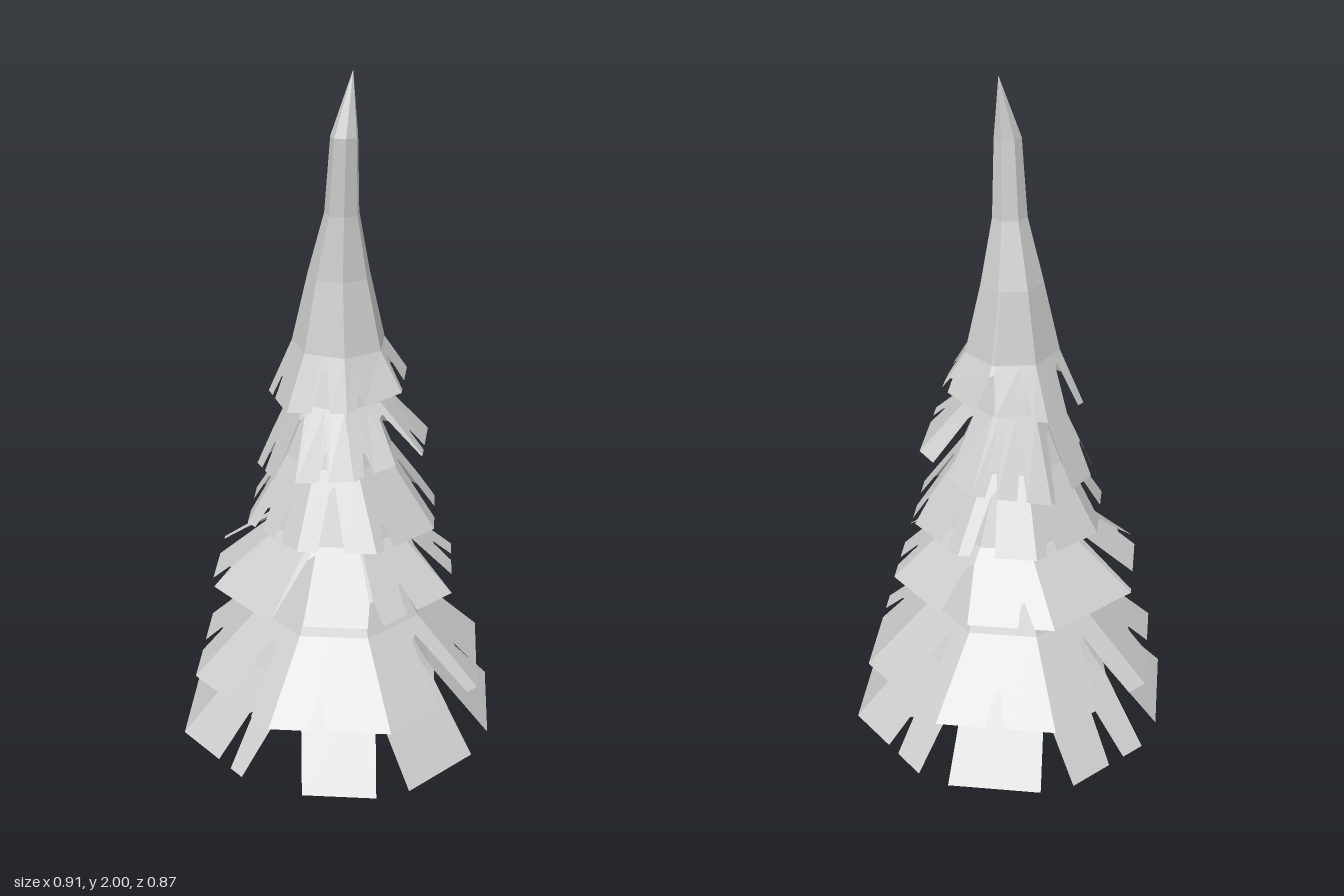
import * as THREE from 'three';

const RAD = Math.PI / 180;
const material = () => new THREE.MeshStandardMaterial({ color: 0xcccccc, flatShading: true, side: THREE.DoubleSide });
const wrap = (deg) => ((deg % 360) + 360) % 360;

// Small seeded generator giving values between 0 and 1
function seeded(seed) {
  let s = seed * 7919 + 17;
  return () => (s = (s * 16807) % 2147483647) / 2147483647;
}

// Notches as [centre angle, half width, depth]: per quarter turn, one deep gap,
// one small nick before it and sometimes one after it, all turned by a phase
function ragged(seed, gapWidth, phase) {
  const random = seeded(seed);
  const between = (a, b) => a + (b - a) * random();
  const cuts = [];
  for (let quarter = phase; quarter < 360 + phase; quarter += 90) {
    cuts.push([quarter + between(39, 51), gapWidth * between(0.75, 1), between(0.75, 0.9)]);
    cuts.push([quarter + between(2, 18), between(3, 4), between(0.25, 0.45)]);
    if (random() > 0.6) cuts.push([quarter + between(70, 79), between(3, 4), between(0.3, 0.5)]);
  }
  return cuts;
}

// Distance from centre to the edge of a regular polygon of circumradius 1
function polygonEdge(deg, sides) {
  const step = 360 / sides;
  const local = (deg % step) - step / 2;
  return Math.cos((step / 2) * RAD) / Math.cos(local * RAD);
}

// Angles round the hem, with how far down each one hangs (1 = full length)
function hemPoints(sides, cuts) {
  const points = [];
  for (let i = 0; i < sides; i++) {
    const a = (i * 360) / sides;
    const isCut = cuts.some(([c, h]) => Math.abs(wrap(a - c + 180) - 180) <= h);
    if (!isCut) points.push([a, 1]);
  }
  for (const [c, h, depth] of cuts) {
    const notch = [[-h, 0], [-h * 0.3, depth], [h * 0.3, depth * 0.92], [h, 0]];
    notch.forEach(([offset, d]) => points.push([wrap(c + offset), 1 - d]));
  }
  points.sort((p, q) => p[0] - q[0]);
  points.push([points[0][0] + 360, points[0][1]]);
  return points;
}

// Skirt of foliage: rows run from the hem upwards as [radius, y, centreX, centreZ]
function makeTier(name, sides, cuts, rows, tiltX = 0, tiltZ = 0) {
  const hem = hemPoints(sides, cuts);
  const place = ([r, y, cx = 0, cz = 0], deg) => {
    const d = r * polygonEdge(deg, sides);
    return new THREE.Vector3(cx + d * Math.cos(deg * RAD), y, cz + d * Math.sin(deg * RAD));
  };
  const rings = rows.map((row, i) => hem.map(([deg, hang]) => {
    const p = place(row, deg);
    if (i === 0) {
      p.y += tiltX * p.x + tiltZ * p.z;
      p.lerp(place(rows[1], deg), 1 - hang);
    }
    return p;
  }));
  const corners = [];
  for (let i = 0; i < rings.length - 1; i++) {
    const lo = rings[i], hi = rings[i + 1];
    for (let j = 0; j < hem.length - 1; j++) {
      corners.push(lo[j + 1], lo[j], hi[j]);
      if (rows[i + 1][0] > 0) corners.push(lo[j + 1], hi[j], hi[j + 1]);
    }
  }
  const geometry = new THREE.BufferGeometry().setFromPoints(corners);
  geometry.computeVertexNormals();
  const mesh = new THREE.Mesh(geometry, material());
  mesh.name = name;
  return mesh;
}

// Six-sided tapering trunk, open below and flared a little at the foot
function makeTrunk() {
  const profile = [[0.08, 0], [0.077, 0.06], [0.065, 0.2], [0.055, 0.45], [0.04, 0.85], [0.02, 1.25]]
    .map(([r, y]) => new THREE.Vector2(r, y));
  const trunk = new THREE.Mesh(new THREE.LatheGeometry(profile, 6), material());
  trunk.name = 'trunk';
  return trunk;
}

export function createModel() {
  const tree = new THREE.Group();
  tree.name = 'pineTree';
  tree.add(makeTrunk());

  // Broad lowest boughs, with gaps that show the trunk
  const lowestGaps = [[45.5, 7.5, 0.9], [90, 6, 0.72], [134, 12, 0.92], [156, 3.5, 0.6], [224, 7, 0.9],
    [243.5, 3.5, 0.6], [270, 6, 0.65], [315, 6, 0.9], [337, 3, 0.4]];
  tree.add(makeTier('lowestBranches', 8, lowestGaps, [[0.455, 0.21], [0.27, 0.42], [0.08, 0.68]]));

  // Overlapping tiers, each smaller than the one below, with staggered gaps
  tree.add(
    makeTier('secondBranches', 8, ragged(1, 8, 18), [[0.415, 0.39], [0.235, 0.57], [0.1, 0.8]]),
    makeTier('thirdBranches', 8, ragged(2, 9, -4), [[0.345, 0.67, -0.015], [0.175, 0.81], [0.07, 1.02]]),
    makeTier('fourthBranches', 8, ragged(3, 9, -17), [[0.265, 0.84, 0.01], [0.145, 1.02], [0.06, 1.22]]),
    makeTier('fifthBranches', 7, ragged(4, 10, 20), [[0.235, 1.01, 0.01, 0.01], [0.125, 1.18], [0.05, 1.36]], 0.14, 0.16),
  );

  // Tall crown, bending to a point
  tree.add(makeTier('crown', 7, ragged(5, 10, -6), [[0.185, 1.2], [0.122, 1.32], [0.08, 1.5],
    [0.044, 1.66, 0, 0.02], [0.034, 1.85, 0, 0.037], [0, 2, 0.025, 0.025]], 0.14, 0.03));
  return tree;
}
